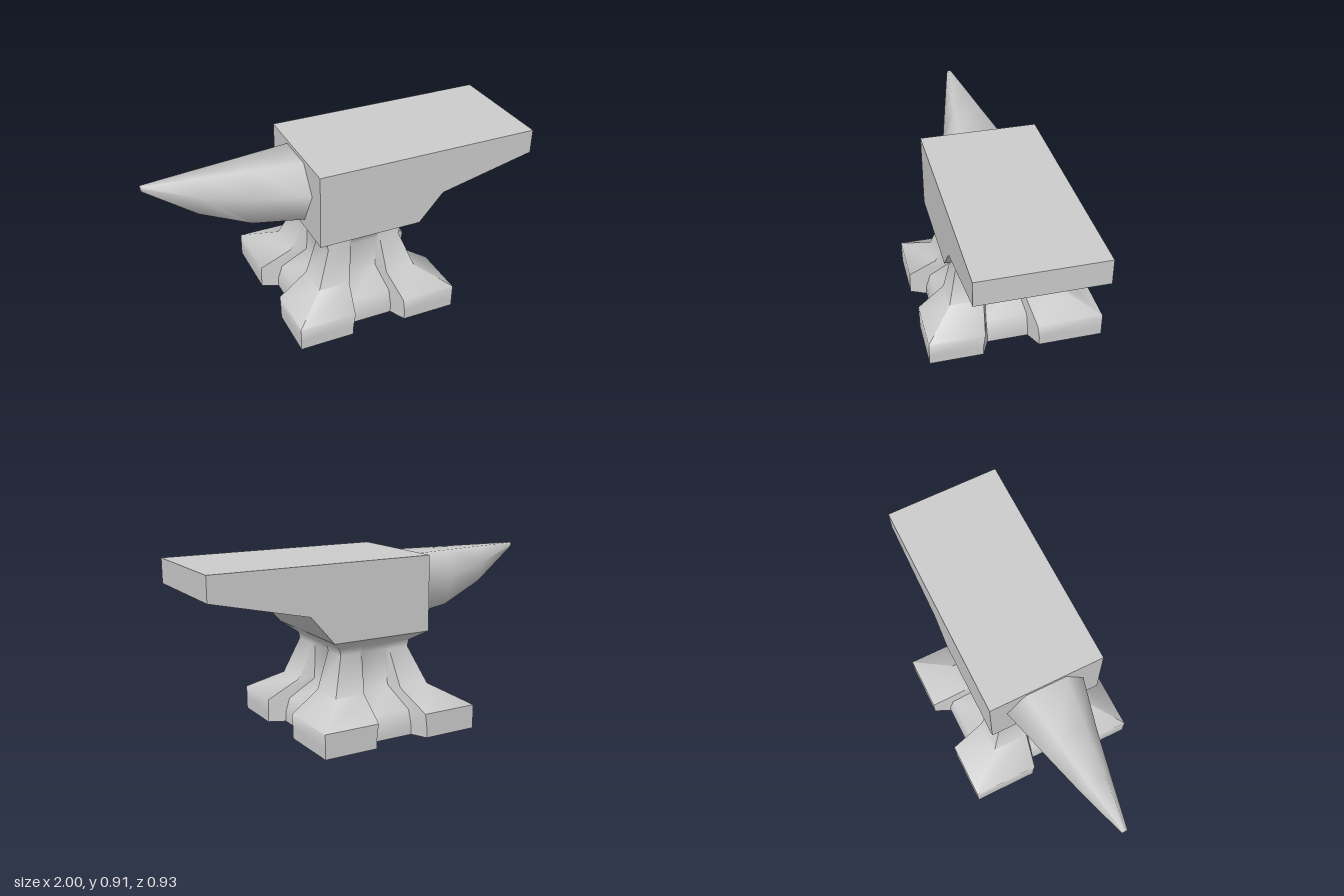
import * as THREE from 'three';
import { toCreasedNormals } from 'three/addons/utils/BufferGeometryUtils.js';

const material = new THREE.MeshStandardMaterial({ color: 0xcccccc });

function addMesh(group, name, geometry, crease) {
  const mesh = new THREE.Mesh(toCreasedNormals(geometry, crease), material);
  mesh.name = name;
  group.add(mesh);
}

// Skin a list of equal-length rings of [x, y, z] points and close both ends
function loft(rings) {
  const pos = [];
  const n = rings[0].length;
  const centre = (ring) => [0, 1, 2].map((k) => ring.reduce((s, p) => s + p[k], 0) / n);
  const first = rings[0], last = rings[rings.length - 1];
  const c0 = centre(first), c1 = centre(last);
  for (let i = 0; i < n; i++) {
    const j = (i + 1) % n;
    for (let r = 0; r < rings.length - 1; r++) {
      const a = rings[r], b = rings[r + 1];
      pos.push(...a[i], ...a[j], ...b[j], ...a[i], ...b[j], ...b[i]);
    }
    pos.push(...c0, ...first[j], ...first[i], ...c1, ...last[i], ...last[j]);
  }
  const geometry = new THREE.BufferGeometry();
  geometry.setAttribute('position', new THREE.Float32BufferAttribute(pos, 3));
  return geometry;
}

// Rectangle with a tapered notch in the middle of each side
function notchedRing([y, x0, x1, z0, z1, outer, inner, depth]) {
  const cx = 0.07, cz = 0.03;
  const side = [[-outer, 0], [-inner, depth], [inner, depth], [outer, 0]];
  return [
    [x0, y, z1], ...side.map(([s, d]) => [cx + s, y, z1 - d]),
    [x1, y, z1], ...side.map(([s, d]) => [x1 - d, y, cz - s]),
    [x1, y, z0], ...side.map(([s, d]) => [cx - s, y, z0 + d]),
    [x0, y, z0], ...side.map(([s, d]) => [x0 + d, y, cz + s]),
  ];
}

// Hexagonal horn section: flat top, widest at mid height
function hornRing([x, bottom, top, half]) {
  const cz = 0.025, mid = bottom + (top - bottom) * 0.58, flat = half * 0.52;
  return [
    [x, top, cz + flat], [x, top, cz - flat], [x, mid, cz - half],
    [x, bottom, cz - flat], [x, bottom, cz + flat], [x, mid, cz + half],
  ];
}

export function createModel() {
  const group = new THREE.Group();
  group.name = 'anvil';

  // Head: block with the tapering heel
  const profile = new THREE.Shape([
    [-0.21, 0.51], [0.35, 0.51], [0.48, 0.66], [1, 0.78], [1, 0.91], [-0.21, 0.91],
  ].map(([x, y]) => new THREE.Vector2(x, y)));
  const head = new THREE.ExtrudeGeometry(profile, { depth: 0.62, bevelEnabled: false });
  head.translate(0, 0, -0.28);
  addMesh(group, 'headAndHeel', head, 1.3);

  // Horn: curved belly, level top
  addMesh(group, 'horn', loft([
    [-0.21, 0.557, 0.89, 0.215],
    [-0.48, 0.585, 0.89, 0.145],
    [-0.74, 0.69, 0.89, 0.082],
    [-1, 0.865, 0.89, 0.015],
  ].map(hornRing)), 1.2);

  // Four-footed base, waist and the flare under the head
  // y, x0, x1, z0, z1, notch outer half width, inner half width, depth
  addMesh(group, 'baseAndWaist', loft([
    [0, -0.375, 0.51, -0.465, 0.465, 0.15, 0.11, 0.085],
    [0.05, -0.375, 0.51, -0.465, 0.465, 0.15, 0.11, 0.085],
    [0.128, -0.375, 0.51, -0.465, 0.465, 0.14, 0.11, 0.11],
    [0.225, -0.21, 0.345, -0.275, 0.32, 0.11, 0.085, 0.085],
    [0.42, -0.135, 0.27, -0.195, 0.265, 0.09, 0.07, 0.01],
    [0.455, -0.14, 0.28, -0.2, 0.26, 0.09, 0.07, 0],
    [0.51, -0.21, 0.35, -0.28, 0.34, 0.09, 0.07, 0],
  ].map(notchedRing)), 1.05);

  return group;
}
